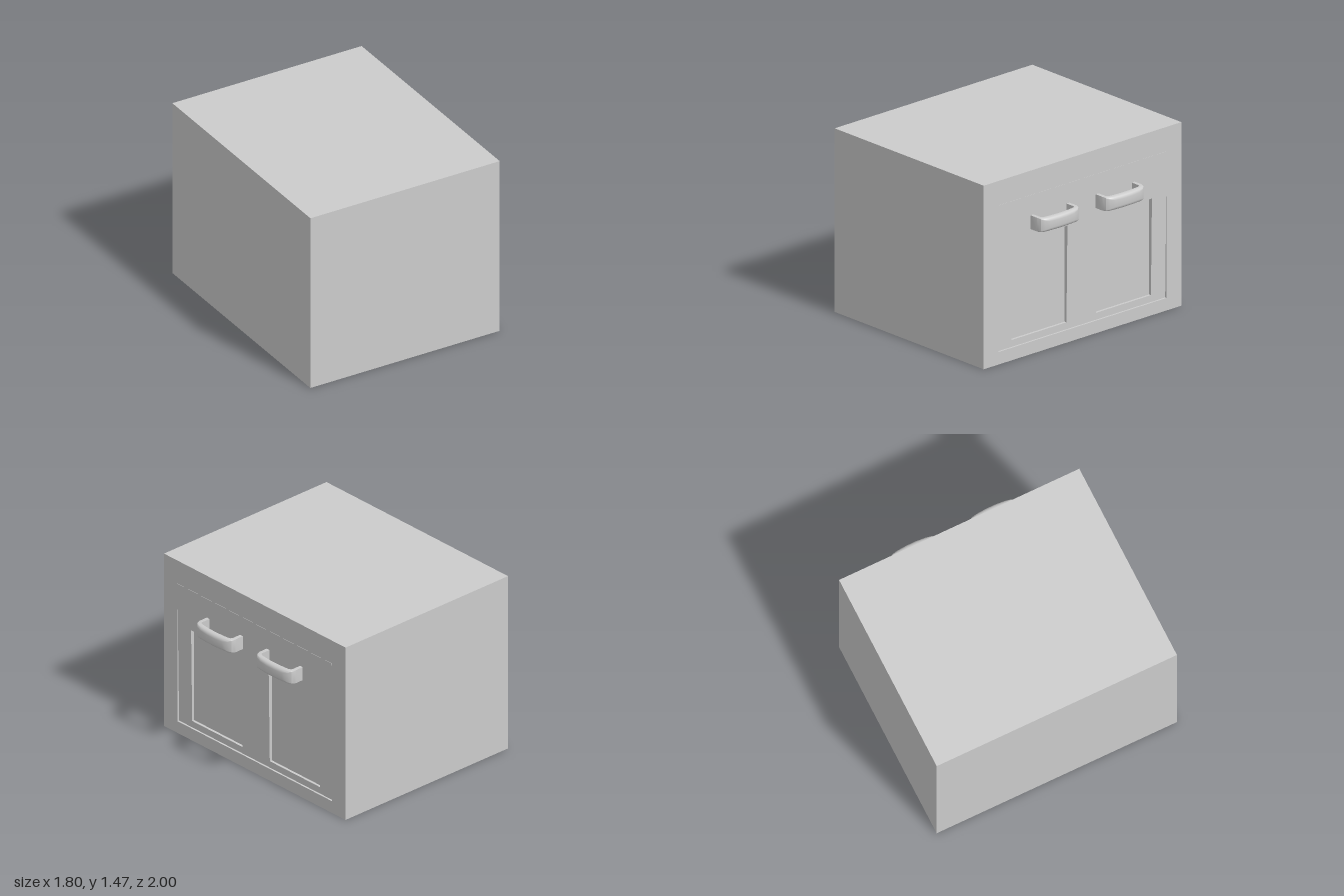
import * as THREE from 'three';
import { toCreasedNormals } from 'three/addons/utils/BufferGeometryUtils.js';

const material = new THREE.MeshStandardMaterial({ color: 0xcccccc });

function addMesh(parent, name, geometry) {
  const mesh = new THREE.Mesh(geometry, material);
  mesh.name = name;
  parent.add(mesh);
  return mesh;
}

function rectangle(PathType, z0, z1, y0, y1) {
  const path = new PathType();
  path.moveTo(z0, y0);
  path.lineTo(z1, y0);
  path.lineTo(z1, y1);
  path.lineTo(z0, y1);
  path.closePath();
  return path;
}

// Plate lying in the zy plane, extruded along +x from x0 to x1
function plate(outline, holes, x0, x1) {
  outline.holes.push(...holes);
  const geometry = new THREE.ExtrudeGeometry(outline, { depth: x1 - x0, bevelEnabled: false });
  return geometry.rotateY(Math.PI / 2).translate(x0, 0, 0);
}

// Bowed pull handle: cross-sections run up one leg, over the bar and down the other
function handleGeometry() {
  // [inner z, inner x, outer z, outer x, edge rounding], z measured from the handle's middle
  const half = [
    [-0.168, 0.75, -0.198, 0.75, 0],
    [-0.168, 0.825, -0.198, 0.825, 0],
    [-0.162, 0.838, -0.19, 0.857, 0.008],
    [-0.148, 0.845, -0.165, 0.878, 0.018],
    [-0.11, 0.85, -0.12, 0.89, 0.028],
    [-0.04, 0.855, -0.04, 0.897, 0.03],
  ];
  const mirrored = half.map(([iz, ix, oz, ox, r]) => [-iz, ix, -oz, ox, r]).reverse();
  const rings = [...half, ...mirrored].map(([iz, ix, oz, ox, r]) => {
    const inner = new THREE.Vector2(ix, iz), outer = new THREE.Vector2(ox, oz);
    const width = inner.distanceTo(outer);
    const at = (d, y) => {
      const p = inner.clone().lerp(outer, d / width);
      return [p.x, y, p.y];
    };
    const ring = [at(0, -0.055)];
    for (const side of [-1, 1]) {
      for (let k = 0; k <= 4; k++) {
        const a = (side < 0 ? k : 4 - k) * Math.PI / 8;
        ring.push(at(width - r + r * Math.sin(a), side * (0.055 - r + r * Math.cos(a))));
      }
    }
    ring.push(at(0, 0.055));
    return ring;
  });
  const positions = [];
  for (let i = 0; i < rings.length - 1; i++) {
    const n = rings[i].length;
    for (let j = 0; j < n; j++) {
      const a = rings[i][j], b = rings[i][(j + 1) % n];
      const c = rings[i + 1][(j + 1) % n], d = rings[i + 1][j];
      positions.push(...a, ...b, ...c, ...a, ...c, ...d);
    }
  }
  const geometry = new THREE.BufferGeometry();
  geometry.setAttribute('position', new THREE.Float32BufferAttribute(positions, 3));
  geometry.computeVertexNormals();
  return toCreasedNormals(geometry, 0.6);
}

export function createModel() {
  const group = new THREE.Group();
  group.name = 'cabinet';
  const height = 1.465;

  // Solid body, whose side also forms the sunken door panels
  const body = new THREE.BoxGeometry(1.615, height, 2);
  addMesh(group, 'body', body.translate(-0.0925, height / 2, 0));

  // Frame around the door opening
  addMesh(group, 'doorFrame', plate(
    rectangle(THREE.Shape, -1, 1, 0, height),
    [rectangle(THREE.Path, -0.85, 0.85, 0.1, 1.27)], 0.715, 0.75));

  // Double door with two panel openings, leaning slightly inward at the bottom
  const door = plate(
    rectangle(THREE.Shape, -0.85, 0.85, 0.1, 1.27),
    [-0.705, 0.15].map((z) => rectangle(THREE.Path, z, z + 0.555, 0.155, 0.93)), 0.7, 0.735);
  const p = door.attributes.position;
  for (let i = 0; i < p.count; i++) {
    if (p.getX(i) > 0.72) p.setX(i, 0.735 + 0.017 * (p.getY(i) - 0.1) / 1.17);
  }
  door.computeVertexNormals();
  addMesh(group, 'doors', door);

  // One handle above each panel
  const handle = handleGeometry();
  for (const side of [1, -1]) {
    const mesh = addMesh(group, side > 0 ? 'frontHandle' : 'backHandle', handle);
    mesh.position.set(0, 1.055, side * 0.33);
  }
  return group;
}
